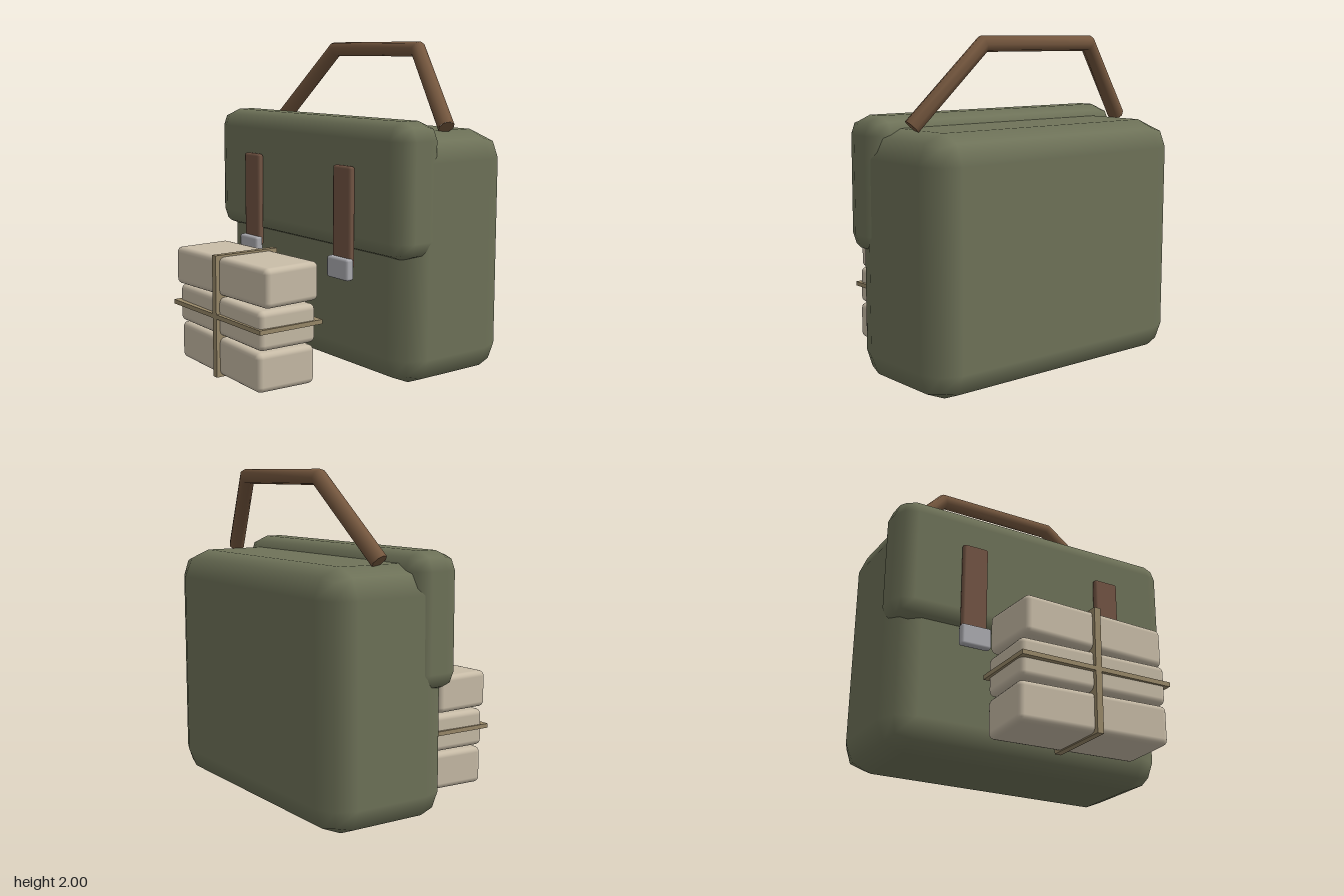
import * as THREE from 'three';
import { RoundedBoxGeometry } from 'three/addons/geometries/RoundedBoxGeometry.js';

const paint = (color) => new THREE.MeshStandardMaterial({ color });
const canvas = paint(0x6f7359);
const leather = paint(0x76583f);
const strapLeather = paint(0x735544);
const metal = paint(0xadadb2);
const paper = paint(0xc9bda8);
const string = paint(0x9a8a6a);

// Mesh whose box runs between the given limits on each axis
function box(name, [x0, x1], [y0, y1], [z0, z1], radius, segments, material) {
  const size = [x1 - x0, y1 - y0, z1 - z0];
  const geometry = radius > 0
    ? new RoundedBoxGeometry(...size, segments, radius)
    : new THREE.BoxGeometry(...size);
  const mesh = new THREE.Mesh(geometry, material);
  mesh.position.set((x0 + x1) / 2, (y0 + y1) / 2, (z0 + z1) / 2);
  mesh.name = name;
  return mesh;
}

// Path with straight runs and one ring of the tube at each corner
class BentPath extends THREE.Curve {
  constructor(points) {
    super();
    this.points = points;
  }
  getPointAt(t) {
    return this.points[Math.round(t * (this.points.length - 1))].clone();
  }
  getTangentAt(t) {
    const p = this.points;
    const i = Math.round(t * (p.length - 1));
    const tangent = new THREE.Vector3();
    if (i > 0) tangent.add(p[i].clone().sub(p[i - 1]).normalize());
    if (i < p.length - 1) tangent.add(p[i + 1].clone().sub(p[i]).normalize());
    return tangent.normalize();
  }
}

function createHandle() {
  const group = new THREE.Group();
  group.name = 'handle';
  const points = [[-0.81, 1.5, -0.35], [-0.41, 1.953, -0.483], [0.41, 1.953, -0.483], [0.81, 1.5, -0.35]]
    .map((p) => new THREE.Vector3(...p));
  const path = new BentPath(points);
  const tube = new THREE.Mesh(new THREE.TubeGeometry(path, 3, 0.05, 8), leather);
  tube.name = 'handleBar';
  group.add(tube);

  // End caps face outwards along the bar
  for (const end of [0, 1]) {
    const cap = new THREE.Mesh(new THREE.CircleGeometry(0.05, 8), leather);
    const outward = path.getTangentAt(end).multiplyScalar(end ? 1 : -1);
    cap.position.copy(path.getPointAt(end));
    cap.quaternion.setFromUnitVectors(new THREE.Vector3(0, 0, 1), outward);
    cap.name = 'handleEnd';
    group.add(cap);
  }
  return group;
}

function createParcels() {
  const group = new THREE.Group();
  group.name = 'parcelStack';
  // Three parcels, each twisted a little
  [-0.05, -0.025, 0.05].forEach((turn, i) => {
    const y = 0.008 + i * 0.244;
    const parcel = box('parcel', [-0.47, 0.47], [y, y + 0.234], [0.333, 0.723], 0.035, 2, paper);
    parcel.rotation.y = turn;
    group.add(parcel);
  });
  // Binding string around the stack
  group.add(
    box('uprightString', [-0.02, 0.02], [0, 0.743], [0.308, 0.748], 0, 1, string),
    box('levelString', [-0.485, 0.485], [0.36, 0.387], [0.308, 0.748], 0, 1, string),
  );
  return group;
}

export function createModel() {
  const bag = new THREE.Group();
  bag.name = 'satchel';

  // Body and front flap
  bag.add(
    box('body', [-0.94, 0.94], [0, 1.48], [-0.75, 0.06], 0.17, 1, canvas),
    box('flap', [-0.955, 0.955], [0.755, 1.55], [-0.205, 0.12], 0.11, 1, canvas),
    createHandle(),
  );

  // Straps and buckles
  for (const side of [-1, 1]) {
    const x = side * 0.473;
    bag.add(
      box('strap', [x - 0.083, x + 0.083], [0.68, 1.28], [0.123, 0.165], 0.015, 1, strapLeather),
      box('buckle', [x - 0.098, x + 0.098], [0.61, 0.74], [0.142, 0.197], 0.015, 1, metal),
    );
  }

  bag.add(createParcels());
  return bag;
}
